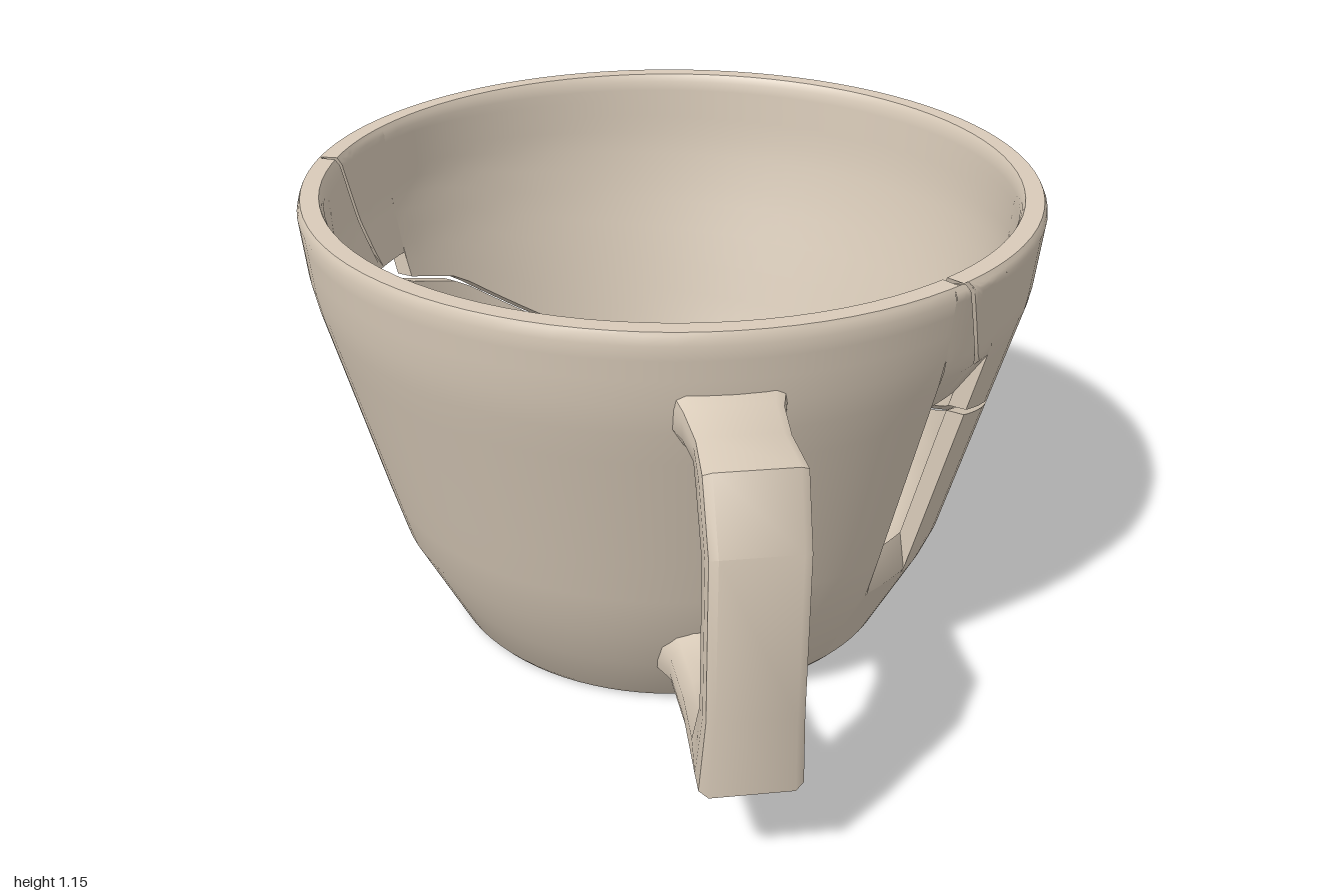
import * as THREE from 'three';
import { toCreasedNormals } from 'three/addons/utils/BufferGeometryUtils.js';

const CZ = -0.085, RIM = 1.15, RAD = Math.PI / 180;
// wall radii as [height, radius]; crack line as [z, height]
const OUTER = [[0.02, 0.59], [0.28, 0.72], [0.66, 0.82], [0.95, 0.897], [1.13, 0.915], [1.15, 0.905]];
const INNER = [[0.2, 0.615], [0.28, 0.665], [0.38, 0.703], [0.66, 0.775], [0.8, 0.812], [0.95, 0.84], [1.13, 0.85], [1.15, 0.86]];
const CRACK = [[-1.1, 0.1], [-0.8, 0.28], [-0.46, 0.48], [-0.24, 0.66], [0.05, 0.76], [0.2, 1.15], [1.2, 3.75]];
// slots: angles from the front, heights given as [outer, inner]
const SLOTS = [[69, 81], [-88, -76]];
const SLOT_LOW = [0.28, 0.38], SLOT_TOP = [0.92, 0.8];

function lerpTable(table, x) {
  if (x <= table[0][0]) return table[0][1];
  for (let i = 1; i < table.length; i++) {
    const [x0, y0] = table[i - 1], [x1, y1] = table[i];
    if (x <= x1) return y0 + (y1 - y0) * (x - x0) / (x1 - x0);
  }
  return table[table.length - 1][1];
}

const point = (deg, r, y) => [r * Math.sin(deg * RAD), y, CZ + r * Math.cos(deg * RAD)];

// height of the crack on the outer and inner wall at an angle
function crackAt(deg, gap) {
  return [OUTER, INNER].map((table) => {
    let lo = 0, hi = 1.6;
    for (let i = 0; i < 40; i++) {
      const y = (lo + hi) / 2;
      const z = CZ + lerpTable(table, y) * Math.cos(deg * RAD);
      const c = lerpTable(CRACK, z) + gap * (z > 0.05 ? 2.2 : 1);
      if (y < c) lo = y; else hi = y;
    }
    return Math.min(lo, RIM);
  });
}

const higher = (a, b) => a.map((v, i) => Math.max(v, b[i]));
const lower = (a, b) => a.map((v, i) => Math.min(v, b[i]));

// wall cross-section: up the outside, down the inside; dent pulls in the lower outer edge
const ROWS = 14;
function column(deg, lo, hi, dent = 0) {
  const out = [], inn = [];
  for (let i = 0; i <= ROWS; i++) {
    const t = Math.sin(i / ROWS * Math.PI / 2);
    const [yo, yi] = lo.map((v, k) => v + (hi[k] - v) * t);
    out.push(point(deg, lerpTable(OUTER, yo) - dent * (1 - t) ** 2, yo));
    inn.unshift(point(deg, lerpTable(INNER, yi), yi));
  }
  return [...out, ...inn];
}

// the upper piece is flattened at its two rear quarters
const rearDent = (deg) => 0.025 * Math.max(0, 1 - ((Math.abs(deg) - 138) / 26) ** 2);

function quad(out, a, b, c, d) { out.push(...a, ...b, ...c, ...a, ...c, ...d); }

// joins two cross-sections with a strip of faces
function bridge(out, A, B, closed) {
  const n = A.length;
  for (let i = 0; i < (closed ? n : n - 1); i++) {
    const j = (i + 1) % n;
    quad(out, A[i], B[i], B[j], A[j]);
  }
}

// radial face at the side of a slot
function cap(out, deg, lo, hi, flip) {
  if (hi[0] - lo[0] < 1e-4 && hi[1] - lo[1] < 1e-4) return;
  const c = column(deg, lo, higher(lo, hi)), n = c.length;
  for (let i = 0; i < ROWS; i++) {
    const q = [c[i], c[n - 1 - i], c[n - 2 - i], c[i + 1]];
    quad(out, ...(flip ? q.reverse() : q));
  }
}

function makeMesh(name, positions, crease) {
  const g = new THREE.BufferGeometry();
  g.setAttribute('position', new THREE.Float32BufferAttribute(positions, 3));
  const mat = new THREE.MeshStandardMaterial({ color: 0xd9cbb9, side: THREE.DoubleSide });
  const mesh = new THREE.Mesh(toCreasedNormals(g, crease), mat);
  mesh.name = name;
  return mesh;
}

function buildBowl() {
  const low = [], up = [], rim = [RIM, RIM], gap = 0.007;
  const angles = new Set(SLOTS.flat());
  for (let a = -180; a <= 180; a += 4) angles.add(a);
  for (const a of [69.5, 70, 70.5, 71, 71.4, 71.8, 72.3, 73, 74, 75, 77, 78.5, 80, 82, 86]) angles.add(a).add(-a);
  const list = [...angles].sort((a, b) => a - b);

  // lower piece column, closed by the foot and the rounded inside floor
  const baseColumn = (deg, hi) => [
    point(deg, 0, 0), point(deg, 0.55, 0), point(deg, 0.577, 0.005),
    ...column(deg, [0.02, 0.2], hi),
    point(deg, 0.56, 0.15), point(deg, 0.48, 0.115), point(deg, 0.36, 0.09),
    point(deg, 0.2, 0.075), point(deg, 0, 0.07),
  ];
  const band = (out, a, b, lo, hi, dent) => {
    const la = lo(a), lb = lo(b), ha = higher(la, hi(a)), hb = higher(lb, hi(b));
    const size = Math.max(...[0, 1].flatMap((k) => [ha[k] - la[k], hb[k] - lb[k]]));
    if (size > 1e-4) bridge(out, column(a, la, ha, dent(a)), column(b, lb, hb, dent(b)), true);
  };
  const under = (d) => crackAt(d, -gap), over = (d) => crackAt(d, gap);

  for (let i = 0; i + 1 < list.length; i++) {
    const a = list[i], b = list[i + 1], mid = (a + b) / 2;
    const slot = SLOTS.some(([s, e]) => mid > s && mid < e);
    const top = (d) => (slot ? SLOT_LOW : under(d));
    bridge(low, baseColumn(a, top(a)), baseColumn(b, top(b)), false);
    if (slot) band(low, a, b, () => SLOT_TOP, under, () => 0);
    band(up, a, b, (d) => (slot ? higher(over(d), SLOT_TOP) : over(d)), () => rim, rearDent);
  }
  // slot sides
  for (const pair of SLOTS) {
    pair.forEach((deg, k) => {
      cap(low, deg, SLOT_LOW, lower(under(deg), SLOT_TOP), k === 1);
      cap(up, deg, over(deg), SLOT_TOP, k === 1);
    });
  }
  return [makeMesh('lowerBowl', low, 0.75), makeMesh('upperBowl', up, 0.75)];
}

function buildHandle() {
  // outer and inner edge of the handle as [distance from the bowl axis, height], then half width
  const path = [
    [0.85, 1.02, 0.85, 0.85, 0.13], [0.93, 0.995, 0.93, 0.87, 0.108],
    [1.05, 0.99, 1.01, 0.88, 0.1], [1.19, 0.99, 1.06, 0.86, 0.108],
    [1.265, 0.84, 1.12, 0.75, 0.105], [1.265, 0.45, 1.12, 0.42, 0.105],
    [1.245, 0.245, 1.07, 0.37, 0.115], [0.95, 0.195, 0.9, 0.3, 0.1],
    [0.73, 0.16, 0.74, 0.28, 0.103], [0.625, 0.12, 0.665, 0.3, 0.125],
  ];
  // rounded section: [position from outer to inner edge, share of half width]
  const half = [[0, 0.8], [0.08, 0.97], [0.25, 1], [0.6, 0.98], [0.88, 0.75], [1, 0.4]];
  const section = [...half, ...half.map(([t, w]) => [t, -w]).reverse()];
  const dx = 0.58, dz = 0.815;
  const rings = path.map(([ro, yo, ri, yi, w]) => section.map(([t, s]) => {
    const r = ro + (ri - ro) * t;
    return [dx * r + dz * s * w, yo + (yi - yo) * t, CZ + dz * r - dx * s * w];
  }));
  const out = [];
  for (let i = 0; i + 1 < rings.length; i++) bridge(out, rings[i], rings[i + 1], true);
  return makeMesh('handle', out, 0.75);
}

export function createModel() {
  const group = new THREE.Group();
  group.name = 'brokenCup';
  group.add(...buildBowl(), buildHandle());
  return group;
}
